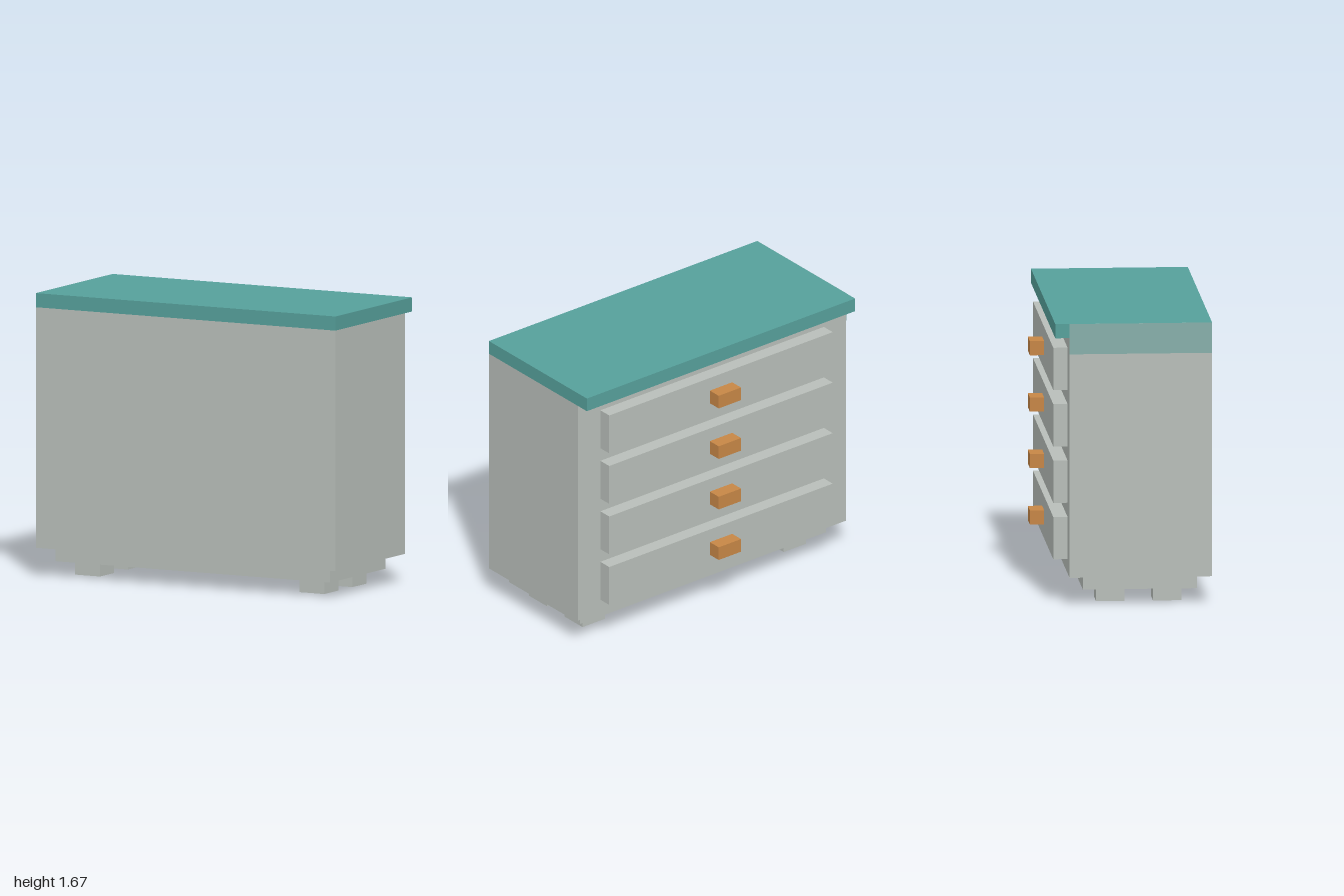
import * as THREE from 'three';

const U = 1 / 12; // all parts sit on a regular grid of this size

const material = (name, color) => {
  const m = new THREE.MeshStandardMaterial({ color });
  m.name = name;
  return m;
};

export function createModel() {
  const grey = material('pale grey paint', 0xb8beb9);
  const teal = material('teal top', 0x56a09b);
  const orange = material('orange wood', 0xc68646);
  const mixed = material('grey teal band', 0x87afaa);

  const group = new THREE.Group();
  group.name = 'chestOfDrawers';

  // Box given by its lower and upper corners in grid units
  const box = (name, mat, [x0, y0, z0], [x1, y1, z1]) => {
    const geometry = new THREE.BoxGeometry((x1 - x0) * U, (y1 - y0) * U, (z1 - z0) * U);
    const mesh = new THREE.Mesh(geometry, mat);
    mesh.position.set((x0 + x1) * U / 2, (y0 + y1) * U / 2, (z0 + z1) * U / 2);
    mesh.name = name;
    group.add(mesh);
  };

  // Cabinet, overhanging top and recessed plinth
  box('cabinet', grey, [-12, 2, -4], [12, 19, 6]);
  box('top', teal, [-12, 19, -5], [12, 20, 6]);
  box('plinth', grey, [-11, 1, -3], [11, 2, 5]);

  // Painted band along the upper edge of one side
  box('sideBand', mixed, [-12.02, 17.85, -4], [-12, 20, 6]);

  // Four square feet
  for (const x of [-10, 8]) {
    for (const z of [-2, 2]) box('foot', grey, [x, 0, z], [x + 2, 1, z + 2]);
  }

  // Drawers with handles on the back
  for (let i = 0; i < 4; i++) {
    const y = 3 + i * 4;
    box('drawer', grey, [-10, y, -5], [10, y + 3, -4]);
    box('handle', orange, [-1, y + 1, -6], [1, y + 2, -5]);
  }

  return group;
}
